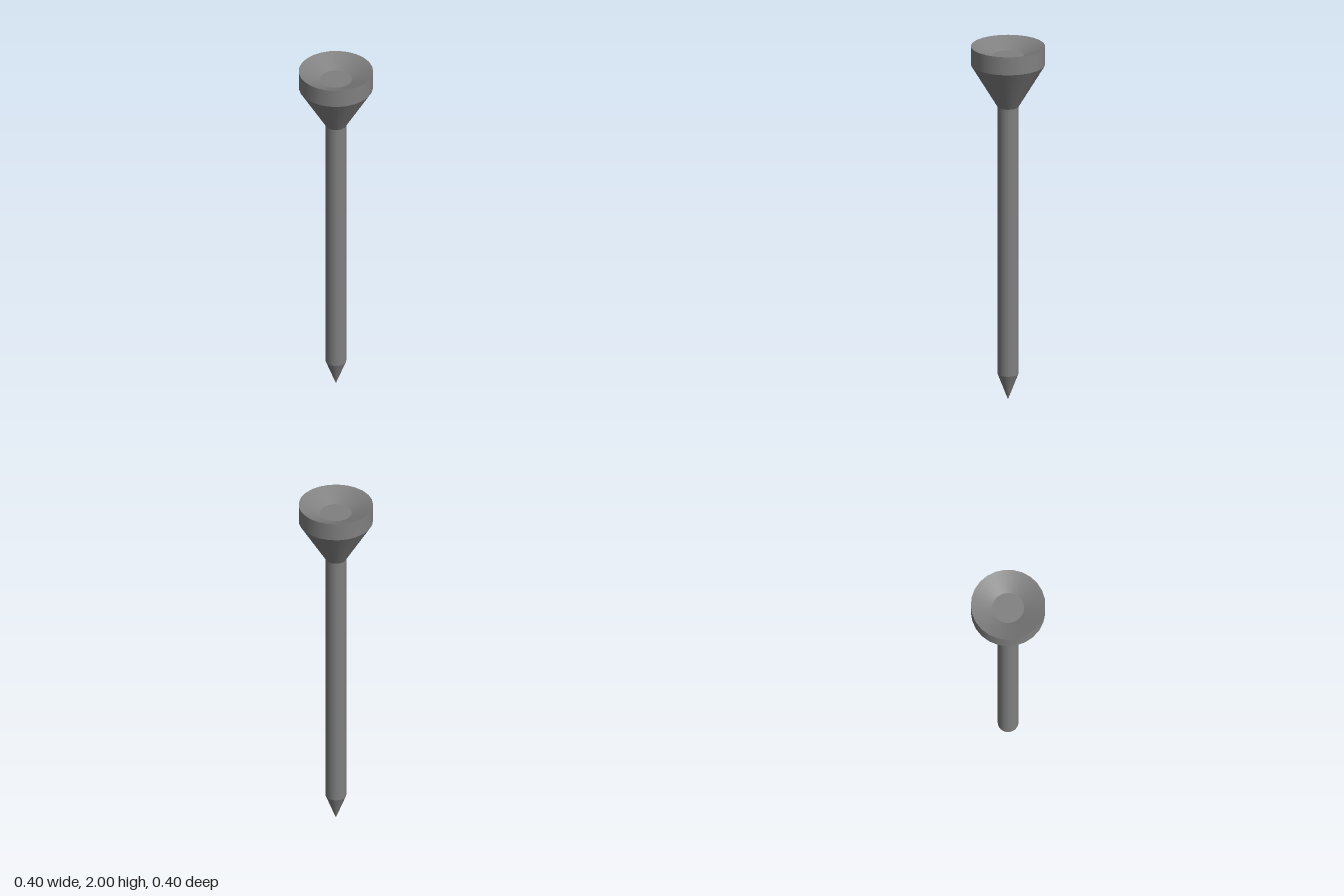
import * as THREE from 'three';

const SIDES = 25;

export function createModel() {
  const group = new THREE.Group();
  group.name = 'tee';
  const grey = new THREE.MeshStandardMaterial({ color: 0x808080 });
  grey.name = 'grey';

  // Each band is its own surface of revolution, so the rings between stay sharp.
  // Profiles run bottom to top on the outside, then inward over the dish.
  function band(name, r0, y0, r1, y1) {
    const profile = [new THREE.Vector2(r0, y0), new THREE.Vector2(r1, y1)];
    const mesh = new THREE.Mesh(new THREE.LatheGeometry(profile, SIDES, Math.PI / 2), grey);
    mesh.name = name;
    group.add(mesh);
  }

  band('tip', 0, 0, 0.056, 0.145);
  band('shaft', 0.056, 0.145, 0.056, 1.657);
  band('headCone', 0.056, 1.657, 0.201, 1.898);
  band('headRim', 0.201, 1.898, 0.201, 2);
  band('dishWall', 0.201, 2, 0.086, 1.948);
  band('dishFloor', 0.086, 1.948, 0, 1.948);

  return group;
}
